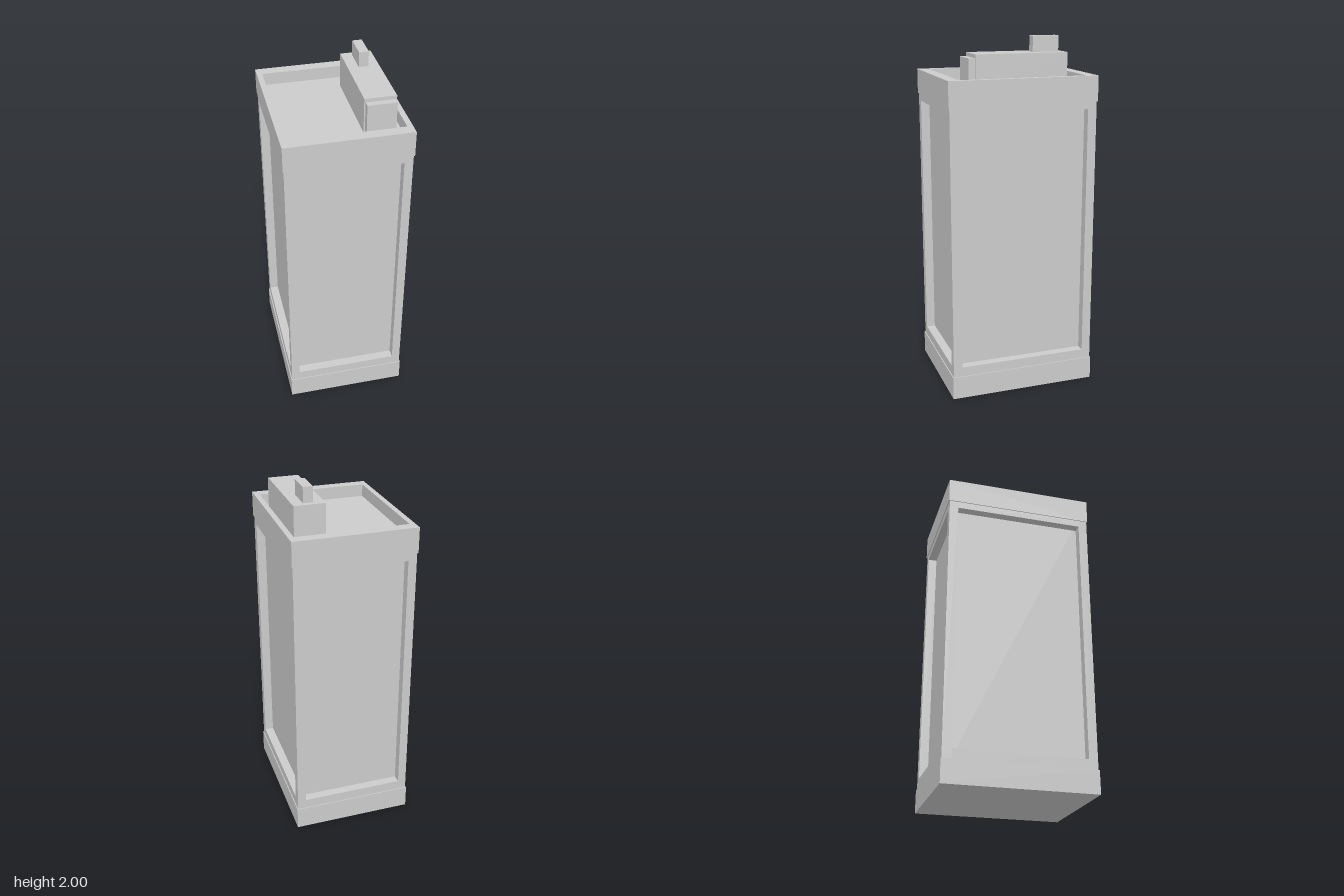
import * as THREE from 'three';

const W = 0.682, D = 0.843;          // outer footprint of the bands
const BW = W - 0.01, BD = D - 0.01;  // slightly inset body
const BASE = 0.13, BAND = 1.65, TOP = 1.79;
const REVEAL = 0.05;                 // depth of the wall panels

const material = new THREE.MeshStandardMaterial({ color: 0xcccccc, flatShading: true });

// Box spanning y0..y1, centred on x, z
function box(name, w, d, y0, y1, x = 0, z = 0) {
  const mesh = new THREE.Mesh(new THREE.BoxGeometry(w, y1 - y0, d), material);
  mesh.name = name;
  mesh.position.set(x, (y0 + y1) / 2, z);
  return mesh;
}

// Rectangular plate with a rectangular opening, extruded along +z
function frameGeometry(w, y0, y1, holeW, h0, h1, depth) {
  const rect = (P, a, b, c, d) => new P([
    new THREE.Vector2(a, b), new THREE.Vector2(c, b),
    new THREE.Vector2(c, d), new THREE.Vector2(a, d),
  ]);
  const shape = rect(THREE.Shape, -w / 2, y0, w / 2, y1);
  shape.holes.push(rect(THREE.Path, -holeW / 2, h0, holeW / 2, h1));
  return new THREE.ExtrudeGeometry(shape, { depth, bevelEnabled: false });
}

export function createModel() {
  const model = new THREE.Group();
  model.name = 'towerBlock';
  model.rotation.y = 0.0143;

  // Base plinth and the recessed wall panels' core
  model.add(box('basePlinth', W, D, 0, BASE));
  model.add(box('wallPanels', BW - 2 * REVEAL, BD - 2 * REVEAL, BASE, BAND));

  // Wall frames around each panel
  const wide = frameGeometry(BW, BASE, BAND, 0.577, 0.185, 1.61, REVEAL);
  const deep = frameGeometry(BD - 2 * REVEAL, BASE, BAND, 0.7325, 0.185, 1.61, REVEAL);
  const walls = [
    ['frontFrame', wide, 0, BD], ['leftFrame', deep, 1, BW],
    ['backFrame', wide, 2, BD], ['rightFrame', deep, 3, BW],
  ];
  for (const [name, geometry, turn, span] of walls) {
    const frame = new THREE.Mesh(geometry, material);
    frame.name = name;
    frame.rotation.y = turn * Math.PI / 2;
    frame.translateZ(span / 2 - REVEAL);
    model.add(frame);
  }

  // Parapet ring with the sunken roof inside
  const ring = frameGeometry(W, -D / 2, D / 2, 0.621, -0.359, 0.359, TOP - BAND);
  ring.rotateX(-Math.PI / 2);
  const parapet = new THREE.Mesh(ring, material);
  parapet.name = 'parapet';
  parapet.position.y = BAND;
  model.add(parapet);
  const ROOF = 1.72;
  model.add(box('roof', 0.621, 0.718, BAND, ROOF));

  // Rooftop plant room, its front annex and the vent on top
  model.add(box('plantRoom', 0.171, 0.517, ROOF, 1.915, 0.197, -0.002));
  model.add(box('annex', 0.157, 0.036, ROOF, 1.895, 0.197, 0.275));
  model.add(box('vent', 0.053, 0.148, 1.915, 2, 0.197, -0.157));

  const group = new THREE.Group();
  group.add(model);
  return group;
}
